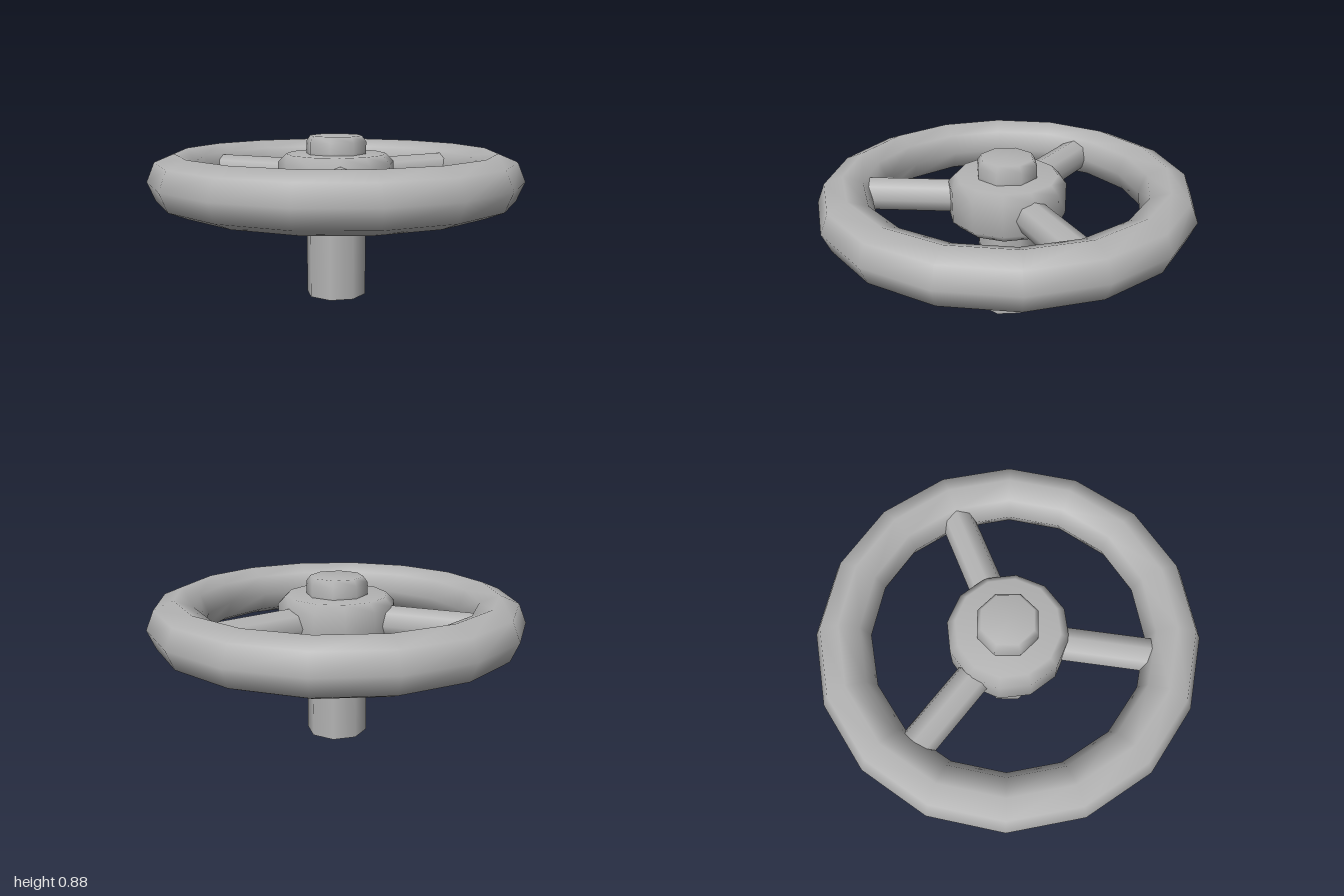
import * as THREE from 'three';

export function createModel() {
  const model = new THREE.Group();
  const metal = new THREE.MeshStandardMaterial({ color: 0xb4b4b4, side: THREE.DoubleSide });
  metal.name = 'grey metal';

  const add = (name, geometry) => {
    const mesh = new THREE.Mesh(geometry, metal);
    mesh.name = name;
    model.add(mesh);
    return mesh;
  };
  const turned = (points, sides) =>
    new THREE.LatheGeometry(points.map(([r, y]) => new THREE.Vector2(r, y)), sides);

  const wheelY = 0.65;

  // Hand rim
  const rim = add('rim', new THREE.TorusGeometry(0.856, 0.144, 8, 16).rotateX(-Math.PI / 2));
  rim.position.y = wheelY;

  // Hub with bevelled edges
  add('hub', turned([[0, 0.52], [0.27, 0.52], [0.315, 0.565], [0.315, 0.735], [0.27, 0.78], [0, 0.78]], 12));

  // Hollow stem running through the hub, closed by a chamfered cap
  add('stem', turned([[0.165, 0], [0.165, 0.79]], 8));
  add('stemCap', turned([[0.165, 0.77], [0.165, 0.845], [0.142, 0.877], [0, 0.877]], 8));

  // Three spokes from hub to rim
  for (let i = 0; i < 3; i++) {
    const geometry = new THREE.CylinderGeometry(0.092, 0.092, 0.6, 8, 1, true)
      .rotateZ(-Math.PI / 2)
      .translate(0.52, wheelY, 0);
    add('spoke' + (i + 1), geometry).rotation.y = (i * Math.PI * 2) / 3;
  }

  return model;
}
